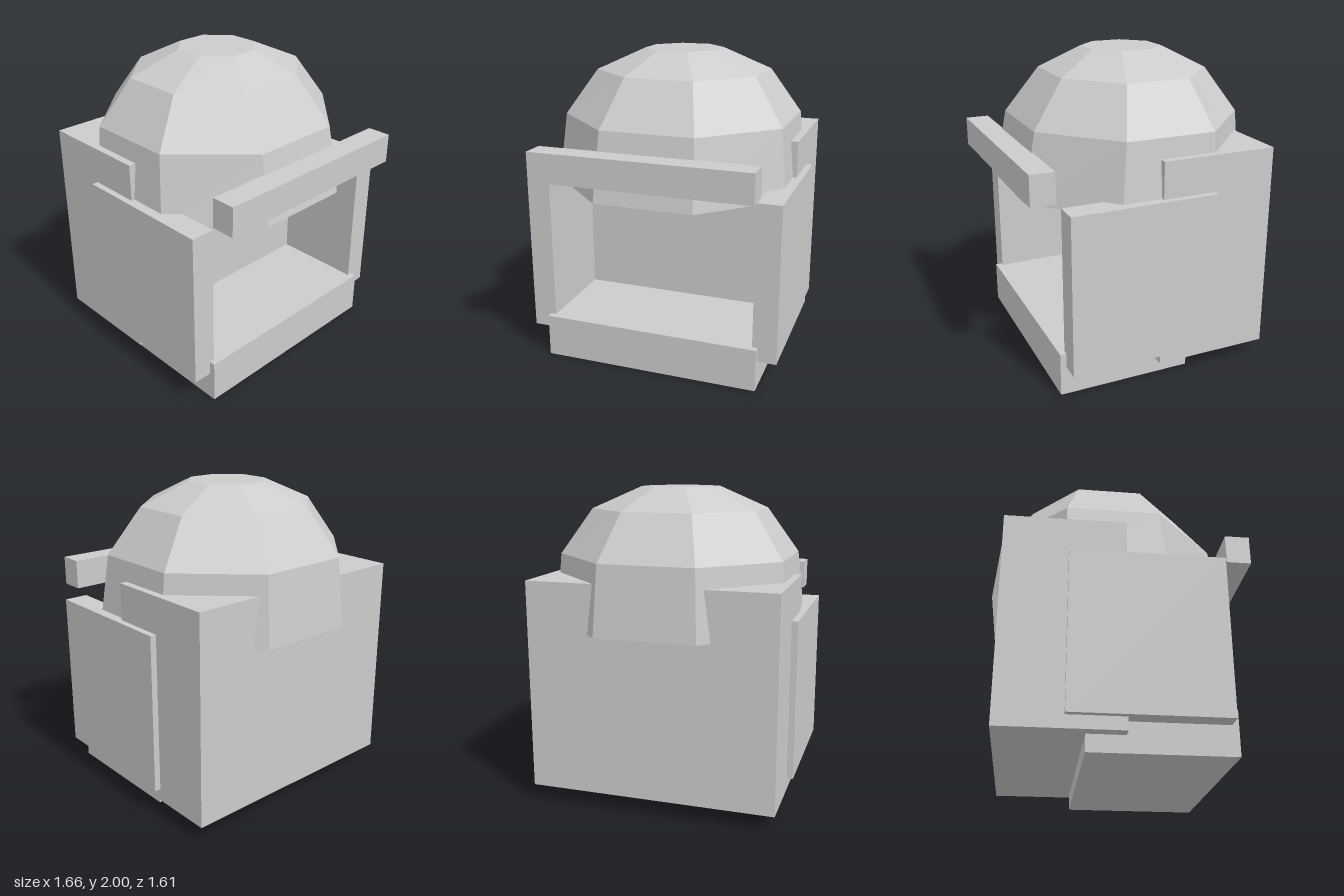
import * as THREE from 'three';

const grey = new THREE.MeshStandardMaterial({ color: 0xcccccc });
grey.name = 'light grey';
grey.flatShading = true;
grey.side = THREE.DoubleSide;

// Box given by its lower and upper limits on each axis
function block(name, [x0, x1], [y0, y1], [z0, z1]) {
  const mesh = new THREE.Mesh(new THREE.BoxGeometry(x1 - x0, y1 - y0, z1 - z0), grey);
  mesh.position.set((x0 + x1) / 2, (y0 + y1) / 2, (z0 + z1) / 2);
  mesh.name = name;
  return mesh;
}

// Eight-sided faceted shell, open underneath
function domeGeometry() {
  // height, centre z, half width, half depth
  const rings = [
    [1.13, -0.045, 0.775, 0.76],
    [1.57, -0.065, 0.73, 0.70],
    [1.86, -0.07, 0.535, 0.495],
    [2.0, -0.065, 0.236, 0.238],
  ];
  const sides = 8;
  const c = Math.cos(Math.PI / sides);
  const point = (r, i) => {
    const [y, cz, w, d] = rings[r];
    const a = ((i + 0.5) * 2 * Math.PI) / sides;
    return [(Math.sin(a) * w) / c, y, cz + (Math.cos(a) * d) / c];
  };
  const pos = [];
  for (let i = 0; i < sides; i++) {
    for (let r = 0; r < rings.length - 1; r++) {
      const p = point(r, i), q = point(r, i + 1);
      const s = point(r + 1, i + 1), t = point(r + 1, i);
      pos.push(...p, ...q, ...s, ...p, ...s, ...t);
    }
    // flat crown
    const top = rings.length - 1;
    pos.push(0, rings[top][0], rings[top][1], ...point(top, i), ...point(top, i + 1));
  }
  const geo = new THREE.BufferGeometry();
  geo.setAttribute('position', new THREE.Float32BufferAttribute(pos, 3));
  geo.computeVertexNormals();
  return geo;
}

export function createModel() {
  const model = new THREE.Group();
  model.name = 'domedHousing';

  model.add(block('backBody', [-0.79, 0.79], [0.105, 1.445], [-0.74, 0.01]));
  model.add(block('baseSlab', [-0.71, 0.71], [0, 0.28], [-0.22, 0.65]));
  model.add(block('frontBar', [-0.71, 0.71], [1.255, 1.445], [0.65, 0.805]));

  // Side panels
  model.add(block('leftPanel', [0.675, 0.83], [0.185, 1.21], [-0.34, 0.61]));
  model.add(block('rightPanel', [-0.83, -0.675], [0.185, 1.21], [-0.34, 0.61]));

  const dome = new THREE.Mesh(domeGeometry(), grey);
  dome.name = 'dome';
  model.add(dome);

  return model;
}
